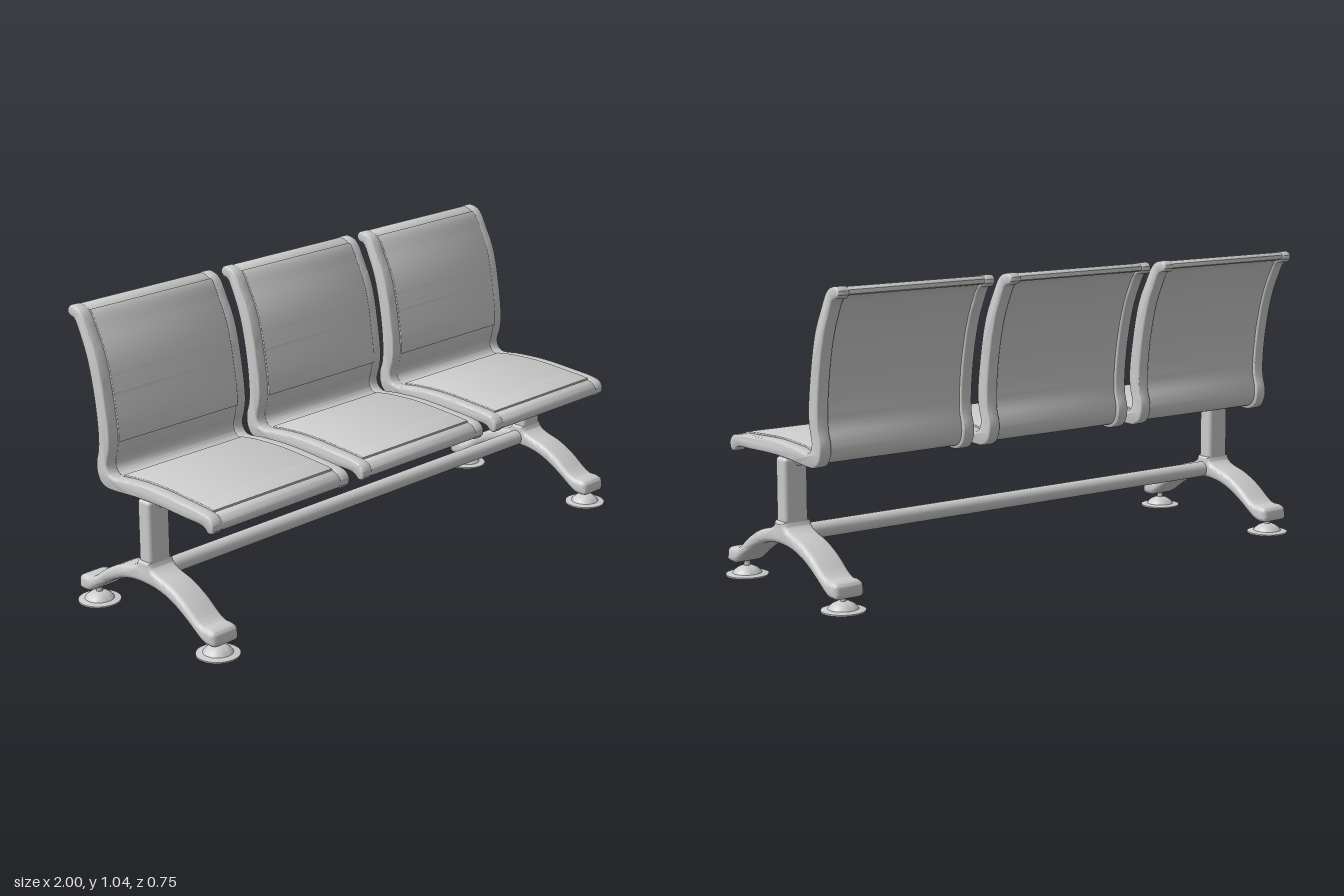
import * as THREE from 'three';
import { toCreasedNormals } from 'three/addons/utils/BufferGeometryUtils.js';
import { RoundedBoxGeometry } from 'three/addons/geometries/RoundedBoxGeometry.js';

const grey = new THREE.MeshStandardMaterial({ color: 0xcccccc });

function part(parent, name, geometry, x = 0, y = 0, z = 0) {
  const mesh = new THREE.Mesh(geometry, grey);
  mesh.name = name;
  mesh.position.set(x, y, z);
  parent.add(mesh);
  return mesh;
}

// Smooth curve through [z, y] points
const spline = (pts) =>
  new THREE.CatmullRomCurve3(pts.map(([z, y]) => new THREE.Vector3(z, y, 0)));

// Side outline (z, y) extruded across x, centred, with rounded edges kept inside the outline
function extrudeAcross(outline, width, bevel) {
  const shape = new THREE.Shape(outline.map((p) => new THREE.Vector2(p.x, p.y)));
  const g = new THREE.ExtrudeGeometry(shape, {
    depth: width - 2 * bevel, bevelEnabled: true, bevelSize: bevel,
    bevelThickness: bevel, bevelOffset: -bevel, bevelSegments: 4,
  });
  g.translate(0, 0, -(width - 2 * bevel) / 2);
  g.rotateY(-Math.PI / 2);
  return toCreasedNormals(g, 0.6);
}

// Seat profile: sitting side and underside, from the front lip to the top of the back
const upper = spline([
  [0.334, 0.44], [0.335, 0.462], [0.32, 0.481], [0.295, 0.489], [0.2, 0.497], [0.05, 0.504],
  [-0.08, 0.498], [-0.155, 0.491], [-0.176, 0.505], [-0.183, 0.53], [-0.172, 0.57],
  [-0.166, 0.62], [-0.18, 0.74], [-0.211, 0.88], [-0.25, 0.963], [-0.282, 1.018],
  [-0.305, 1.034], [-0.34, 1.038], [-0.352, 1.026],
]);
const lower = spline([
  [0.325, 0.43], [0.31, 0.43], [0.29, 0.446], [0.2, 0.451], [0.05, 0.456], [-0.05, 0.453],
  [-0.16, 0.445], [-0.19, 0.447], [-0.217, 0.46], [-0.233, 0.488], [-0.236, 0.525],
  [-0.224, 0.57], [-0.221, 0.62], [-0.233, 0.74], [-0.262, 0.87], [-0.295, 0.95],
  [-0.322, 0.997], [-0.342, 1.002], [-0.353, 1.013],
]);

function railGeometry() {
  const outline = [...upper.getPoints(80), ...lower.getPoints(80).reverse()];
  return extrudeAcross(outline, 0.045, 0.008);
}

// Thin sheet spanning the two rails, set in from both faces
function sheetGeometry() {
  const N = 80, top = [], bottom = [];
  for (let i = 1; i < N; i++) {
    const a = upper.getPoint(i / N), b = lower.getPoint(i / N);
    top.push(a.clone().lerp(b, 0.06));
    bottom.push(a.clone().lerp(b, 0.78));
  }
  return extrudeAcross([...top, ...bottom.reverse()], 0.535, 0.002);
}

// Slightly raised pad following the sitting side wherever inside(point) holds
function padGeometry(inside) {
  const outer = [], inner = [];
  for (let i = 0; i <= 160; i++) {
    const p = upper.getPointAt(i / 160);
    if (!inside(p)) continue;
    const t = upper.getTangentAt(i / 160);
    const n = new THREE.Vector3(t.y, -t.x, 0);
    outer.push(p.clone().addScaledVector(n, 0.004));
    inner.push(p.clone().addScaledVector(n, -0.012));
  }
  return extrudeAcross([...outer, ...inner.reverse()], 0.522, 0.003);
}

// Arched pair of legs with blunt toes, mirrored about z = 0
function legGeometry() {
  const half = [
    ...spline([[0.03, 0.245], [0.036, 0.23], [0.06, 0.215], [0.13, 0.194], [0.2, 0.158],
      [0.26, 0.115], [0.285, 0.104], [0.315, 0.103], [0.337, 0.094], [0.342, 0.075],
      [0.341, 0.052], [0.325, 0.047]]).getPoints(48),
    ...spline([[0.3, 0.047], [0.275, 0.057], [0.2, 0.107], [0.13, 0.144], [0.06, 0.163],
      [0, 0.167]]).getPoints(24),
  ];
  const mirrored = half.slice(0, -1).reverse()
    .map((p) => new THREE.Vector3(-p.x, p.y, 0));
  return extrudeAcross([...half, ...mirrored], 0.112, 0.018);
}

// Levelling foot: flat disc, dome and stem in one turned profile
function footGeometry() {
  const pts = [[0, 0], [0.073, 0], [0.073, 0.005], [0.05, 0.009], [0.044, 0.018],
    [0.032, 0.027], [0.018, 0.033], [0.011, 0.034], [0.011, 0.06]];
  const g = new THREE.LatheGeometry(pts.map(([r, y]) => new THREE.Vector2(r, y)), 40);
  return toCreasedNormals(g, 0.6);
}

export function createModel() {
  const model = new THREE.Group();
  model.name = 'threeSeatBench';

  // Three identical seats
  const rail = railGeometry();
  const sheet = sheetGeometry();
  const seatPad = padGeometry((p) => p.y < 0.52 && p.x < 0.3 && p.x > -0.148);
  const backPad = padGeometry((p) => p.y > 0.597 && p.x > -0.292);
  for (const x of [-0.667, -0.002, 0.663]) {
    const seat = new THREE.Group();
    seat.name = 'seat';
    seat.position.x = x;
    part(seat, 'sideRail', rail, -0.28);
    part(seat, 'sideRail', rail, 0.28);
    part(seat, 'seatSheet', sheet);
    part(seat, 'seatPad', seatPad);
    part(seat, 'backPad', backPad);
    model.add(seat);
  }

  // Long beams joining the two end frames
  part(model, 'upperBeam', new RoundedBoxGeometry(1.86, 0.031, 0.068, 3, 0.008), 0, 0.441, 0);
  const tube = new THREE.CylinderGeometry(0.028, 0.028, 1.8, 32);
  tube.rotateZ(Math.PI / 2);
  part(model, 'lowerBeam', tube, 0, 0.197, 0);

  // End frames: post, arched legs and feet
  const post = new RoundedBoxGeometry(0.088, 0.265, 0.062, 4, 0.014);
  const legs = legGeometry();
  const foot = footGeometry();
  for (const side of [-1, 1]) {
    const frame = new THREE.Group();
    frame.name = 'endFrame';
    frame.position.x = side * 0.927;
    part(frame, 'post', post, 0, 0.3235, 0);
    part(frame, 'archedLegs', legs);
    for (const z of [-0.3, 0.3]) part(frame, 'foot', foot, 0, 0, z);
    model.add(frame);
  }
  return model;
}
